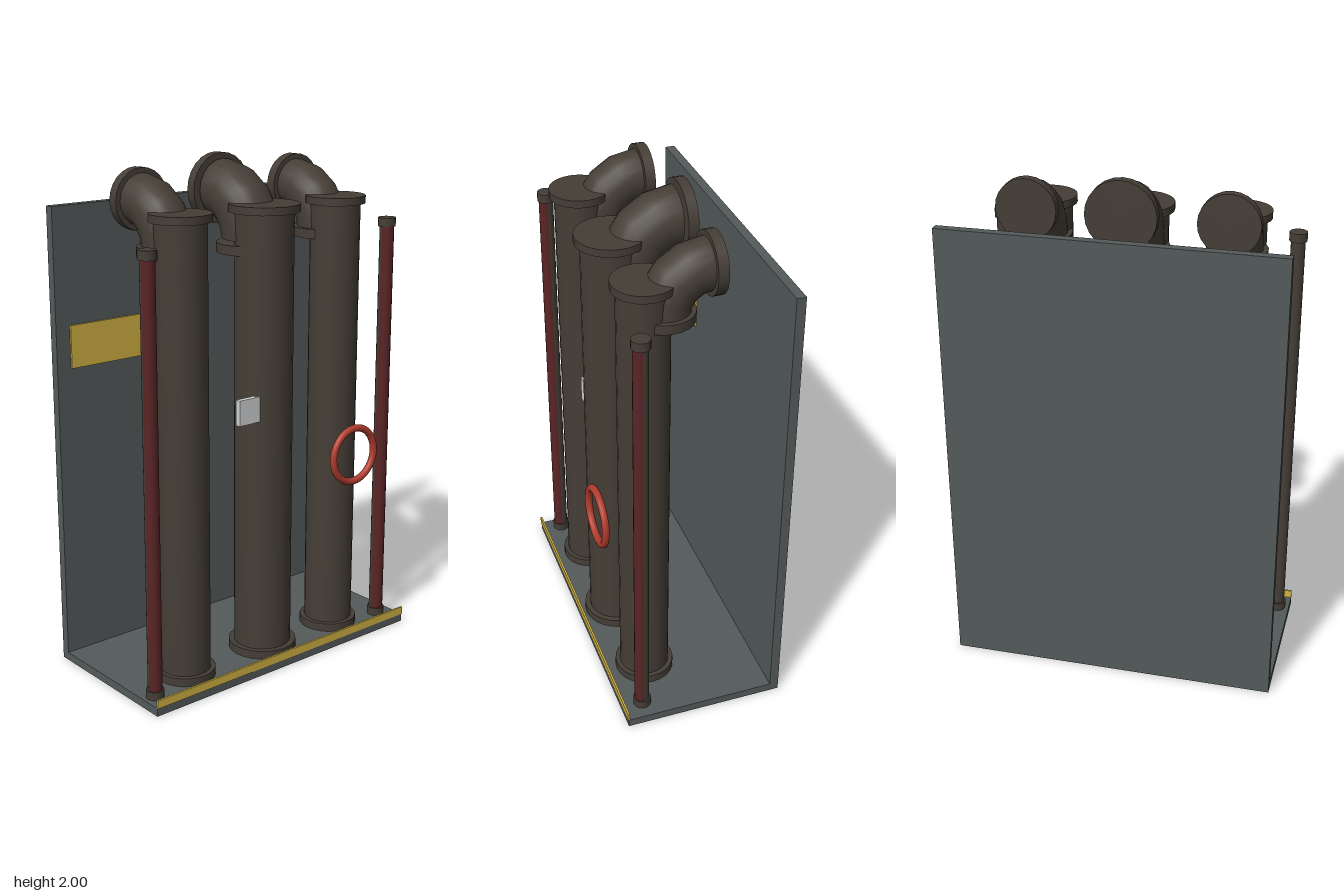
import * as THREE from 'three';

const mat = (name, color, extra = {}) => {
  const m = new THREE.MeshStandardMaterial({ color, ...extra });
  m.name = name;
  return m;
};

export function createModel() {
  const model = new THREE.Group();
  model.name = 'pipePanel';

  const steel = mat('panelGrey', 0x545a5b);
  const iron = mat('darkIron', 0x453e36);
  const maroon = mat('maroonPaint', 0x5a2425);
  const yellow = mat('safetyYellow', 0xd2b343);
  const red = mat('wheelRed', 0xb23c2e);
  const white = mat('labelWhite', 0xd2d3d5);

  const add = (parent, name, geometry, material, x, y, z) => {
    const mesh = new THREE.Mesh(geometry, material);
    mesh.name = name;
    mesh.position.set(x, y, z);
    parent.add(mesh);
    return mesh;
  };
  // Box given by its minimum and maximum corners
  const box = (name, material, a, b) => add(
    model, name,
    new THREE.BoxGeometry(b[0] - a[0], b[1] - a[1], b[2] - a[2]), material,
    (a[0] + b[0]) / 2, (a[1] + b[1]) / 2, (a[2] + b[2]) / 2);
  // Upright cylinder between two heights
  const column = (parent, name, material, r, y0, y1, x, z, sides = 24) => add(
    parent, name, new THREE.CylinderGeometry(r, r, y1 - y0, sides), material,
    x, (y0 + y1) / 2, z);

  // Floor, back wall and kerb
  box('floorPlate', steel, [-0.65, 0, -0.333], [0.65, 0.033, 0.305]);
  box('backWall', steel, [-0.65, 0.033, -0.333], [0.65, 1.83, -0.297]);
  box('frontKerbStripe', yellow, [-0.65, 0.033, 0.301], [0.65, 0.066, 0.309]);

  // Large pipes, each with end flanges and an elbow turning to the back
  const bigPipe = (x, r, flangeR, bend, outletY, elbowBase, lipBack) => {
    const g = new THREE.Group();
    g.name = 'largePipe';
    g.position.x = x;
    model.add(g);
    const z = 0.145, elbowZ = 0.072;
    column(g, 'pipe', iron, r, 0.033, 1.82, 0, z);
    column(g, 'baseFlange', iron, flangeR, 0.033, 0.066, 0, z);
    column(g, 'topFlange', iron, flangeR, 1.803, 1.833, 0, z);
    column(g, 'elbowFlange', iron, flangeR, elbowBase, elbowBase + 0.037, 0, elbowZ);
    const elbow = new THREE.TorusGeometry(bend, r, 20, 4, Math.PI / 2).rotateY(-Math.PI / 2);
    add(g, 'elbow', elbow, iron, 0, outletY - bend, elbowZ - bend);
    const lip = new THREE.CylinderGeometry(flangeR, flangeR, 0.04, 24).rotateX(Math.PI / 2);
    add(g, 'outletFlange', lip, iron, 0, outletY, lipBack + 0.02);
  };
  bigPipe(-0.393, 0.098, 0.117, 0.16, 1.856, 1.668, -0.125);
  bigPipe(0, 0.114, 0.136, 0.17, 1.864, 1.644, -0.146);
  bigPipe(0.365, 0.098, 0.117, 0.16, 1.856, 1.668, -0.125);

  // Thin pipes: iron core with a painted front
  for (const x of [-0.6, 0.573]) {
    const g = new THREE.Group();
    g.name = 'thinPipe';
    g.position.x = x;
    model.add(g);
    const z = 0.224;
    column(g, 'core', iron, 0.028, 0.033, 1.72, 0, z, 16);
    column(g, 'paintedFront', maroon, 0.028, 0.066, 1.70, 0, z + 0.002, 16);
    column(g, 'baseCollar', iron, 0.035, 0.033, 0.066, 0, z, 16);
    column(g, 'topCollar', iron, 0.035, 1.70, 1.735, 0, z, 16);
  }

  // Valve wheel ring
  add(model, 'valveWheel', new THREE.TorusGeometry(0.11, 0.0145, 12, 40), red, 0.327, 0.822, 0.318);

  // Wall plaque and small tag on the middle pipe
  box('wallPlaque', yellow, [-0.589, 1.207, -0.297], [-0.263, 1.375, -0.289]);
  box('pipeTag', white, [-0.183, 1.016, 0.2], [-0.04, 1.116, 0.222]);

  return model;
}
